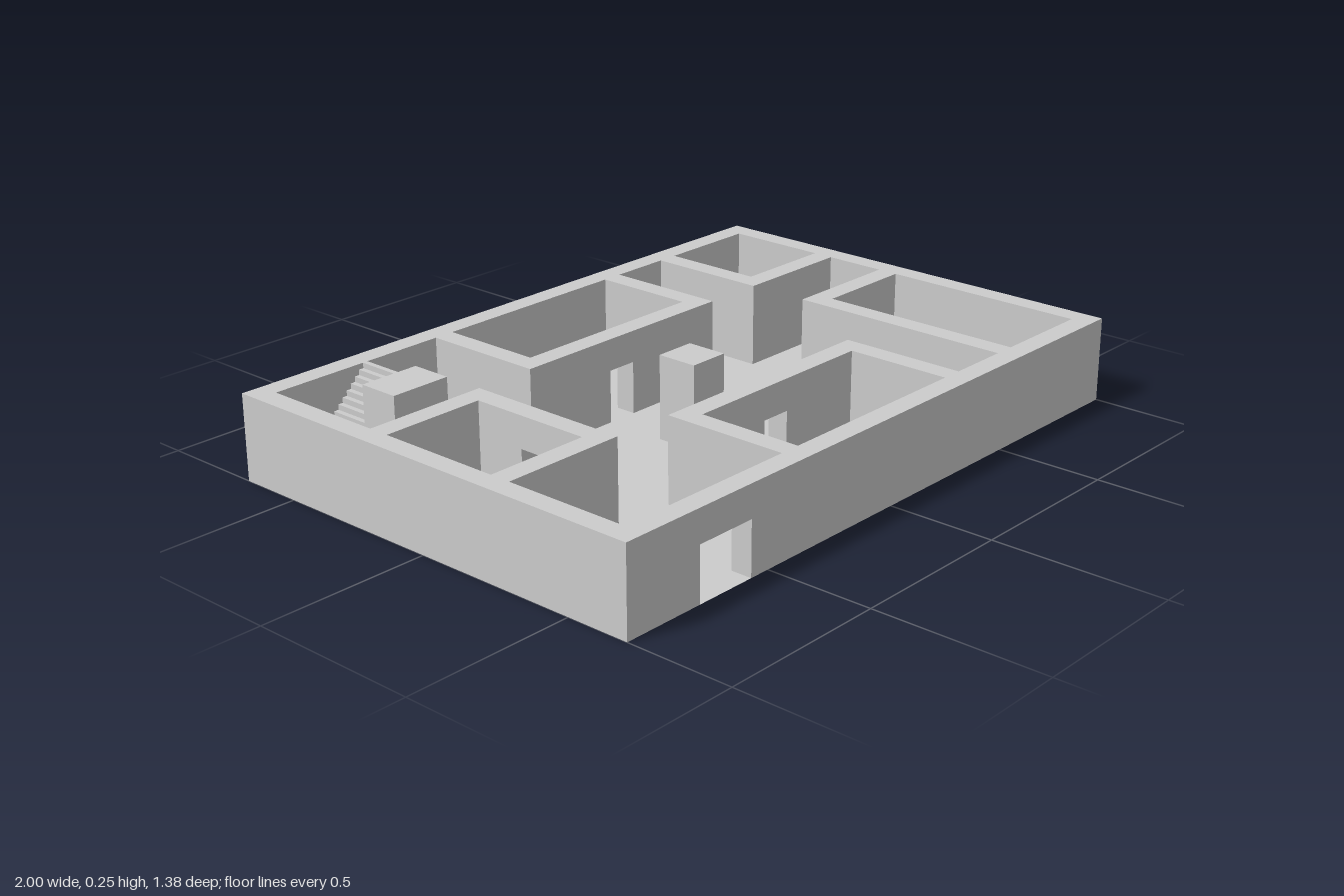
import * as THREE from 'three';

const U = 1 / 32; // plan module: walls are 2 modules thick and 8 high
const H = 8;
const DOOR = 5;

// Each block is [part, x0, x1, y0, y1, z0, z1]; later blocks overwrite earlier ones.
function planBlocks() {
  const blocks = [];
  const put = (part, x0, x1, z0, z1, y0 = 0, y1 = H) => blocks.push([part, x0, x1, y0, y1, z0, z1]);
  const room = (x0, x1, z0, z1) => {
    put('walls', x0 - 2, x1 + 2, z0 - 2, z1 + 2);
    put(null, x0, x1, z0, z1);
  };
  const door = (x0, x1, z0, z1) => put(null, x0, x1, z0, z1, 0, DOOR);

  // outer wall ring
  room(-30, 30, -20, 20);

  // inner rooms
  room(-30, -20, -6, 6);
  room(-10, 10, 10, 20);
  room(-10, 10, -20, -10);
  room(20, 30, -20, -10);
  room(20, 30, 0, 20);

  // main entrance and room doors
  door(-24, -18, 20, 22);
  door(-2, 1, 8, 10);
  door(-2, 1, -10, -8);
  door(-20, -18, -1, 2);
  door(18, 20, -18, -15);
  door(22, 25, -2, 0);

  // central pillar
  put('pillar', -2, 2, -2, 2);

  // stairs: half landing, core, lower flight to the landing, upper flight back
  put('stairs', -30, -24, -20, -8, 0, 4);
  put('stairs', -24, -22, -12, -8, 0, 4);
  put('stairs', -24, -18, -16, -12);
  for (let i = 0; i < 8; i++) {
    const s = i / 2;
    put('stairs', -18.5 - s, -18 - s, -12, -8, 0, s + 0.5);
    put('stairs', -24 + s, -23.5 + s, -20, -16, 4, 4.5 + s);
  }
  return blocks;
}

// Paints the blocks on an uneven grid and collects the exposed quads of each part.
function meshBlocks(blocks) {
  const axes = [1, 3, 5].map(k =>
    [...new Set(blocks.flatMap(b => [b[k], b[k + 1]]))].sort((a, b) => a - b));
  const n = axes.map(a => a.length - 1);
  const cells = new Array(n[0] * n[1] * n[2]).fill(null);
  const at = (i, j, k) => (i * n[1] + j) * n[2] + k;
  for (const [part, ...r] of blocks) {
    const [x0, x1, y0, y1, z0, z1] = r.map((v, m) => axes[m >> 1].indexOf(v));
    for (let i = x0; i < x1; i++)
      for (let j = y0; j < y1; j++)
        for (let k = z0; k < z1; k++) cells[at(i, j, k)] = part;
  }

  const cell = c => (c.some((v, m) => v < 0 || v >= n[m]) ? null : cells[at(...c)]);
  const quads = {};
  const addQuad = (part, c, a, side) => {
    const b = (a + 1) % 3, d = (a + 2) % 3;
    const corner = (u, v) => {
      const p = [0, 0, 0];
      p[a] = axes[a][c[a] + (side > 0 ? 1 : 0)] * U;
      p[b] = axes[b][c[b] + u] * U;
      p[d] = axes[d][c[d] + v] * U;
      return p;
    };
    const q = [corner(0, 0), corner(1, 0), corner(1, 1), corner(0, 1)];
    if (side < 0) q.reverse();
    (quads[part] ??= []).push(...q[0], ...q[1], ...q[2], ...q[0], ...q[2], ...q[3]);
  };

  for (let i = 0; i < n[0]; i++)
    for (let j = 0; j < n[1]; j++)
      for (let k = 0; k < n[2]; k++) {
        const c = [i, j, k];
        const part = cell(c);
        if (!part) {
          // open ground cells get a floor tile, reversed to face up
          if (j === 0) addQuad('floor', [i, -1, k], 1, 1);
          continue;
        }
        for (let a = 0; a < 3; a++)
          for (const side of [-1, 1]) {
            if (a === 1 && side < 0 && j === 0) continue; // walls are open underneath
            const next = [...c];
            next[a] += side;
            if (!cell(next)) addQuad(part, c, a, side);
          }
      }
  return quads;
}

export function createModel() {
  const group = new THREE.Group();
  group.name = 'floorPlan';
  const material = new THREE.MeshStandardMaterial({ color: 0xcccccc, side: THREE.DoubleSide });
  for (const [name, points] of Object.entries(meshBlocks(planBlocks()))) {
    const geometry = new THREE.BufferGeometry();
    geometry.setAttribute('position', new THREE.Float32BufferAttribute(points, 3));
    geometry.computeVertexNormals();
    const mesh = new THREE.Mesh(geometry, material);
    mesh.name = name;
    group.add(mesh);
  }
  return group;
}
